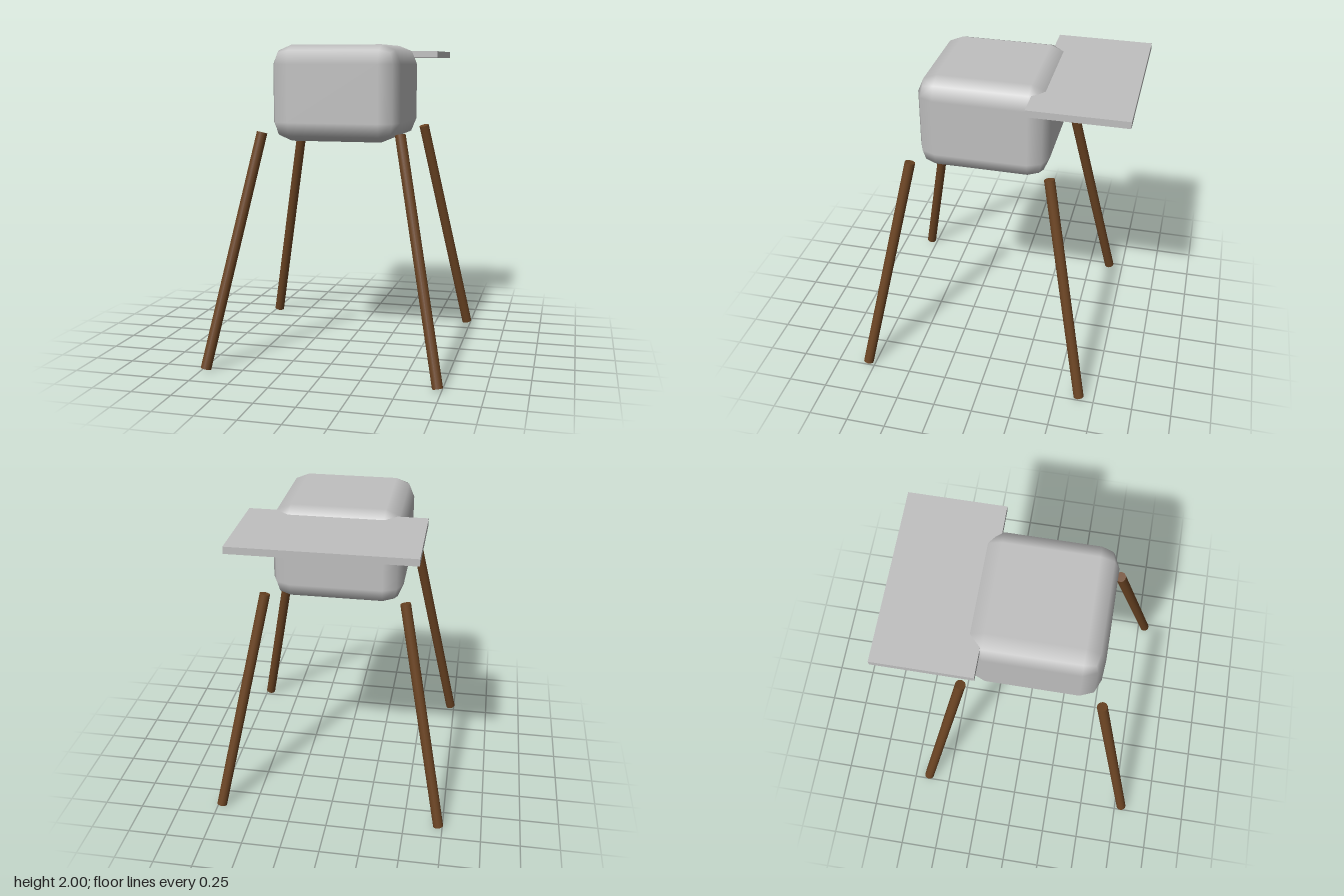
import * as THREE from 'three';
import { RoundedBoxGeometry } from 'three/addons/geometries/RoundedBoxGeometry.js';

export function createModel() {
  const model = new THREE.Group();
  model.name = 'stool';
  const grey = new THREE.MeshStandardMaterial({ name: 'lightGrey', color: 0xc0c0c0 });
  const brown = new THREE.MeshStandardMaterial({ name: 'woodBrown', color: 0x6b4423 });
  const centreZ = 0.073;

  const add = (name, geometry, material) => {
    const mesh = new THREE.Mesh(geometry, material);
    mesh.name = name;
    model.add(mesh);
    return mesh;
  };

  // Rounded cushion block
  add('seat', new RoundedBoxGeometry(0.815, 0.6, 0.815, 1, 0.12), grey)
    .position.set(0, 1.7, centreZ);

  // Flat panel sunk into the back of the block
  add('backPanel', new THREE.BoxGeometry(1.086, 0.043, 0.6), grey)
    .position.set(0, 1.943, -0.529);

  // Four legs splayed outwards along the diagonals
  const up = new THREE.Vector3(0, 1, 0);
  for (const [sx, xName] of [[1, 'Left'], [-1, 'Right']]) {
    for (const [sz, zName] of [[1, 'front'], [-1, 'back']]) {
      const foot = new THREE.Vector3(sx * 0.724, 0.009, centreZ + sz * 0.724);
      const top = new THREE.Vector3(sx * 0.436, 1.461, centreZ + sz * 0.436);
      const axis = top.clone().sub(foot);
      const leg = add(`${zName}${xName}Leg`,
        new THREE.CylinderGeometry(0.033, 0.033, axis.length(), 16), brown);
      leg.position.copy(foot).add(top).multiplyScalar(0.5);
      leg.quaternion.setFromUnitVectors(up, axis.normalize());
    }
  }
  return model;
}
